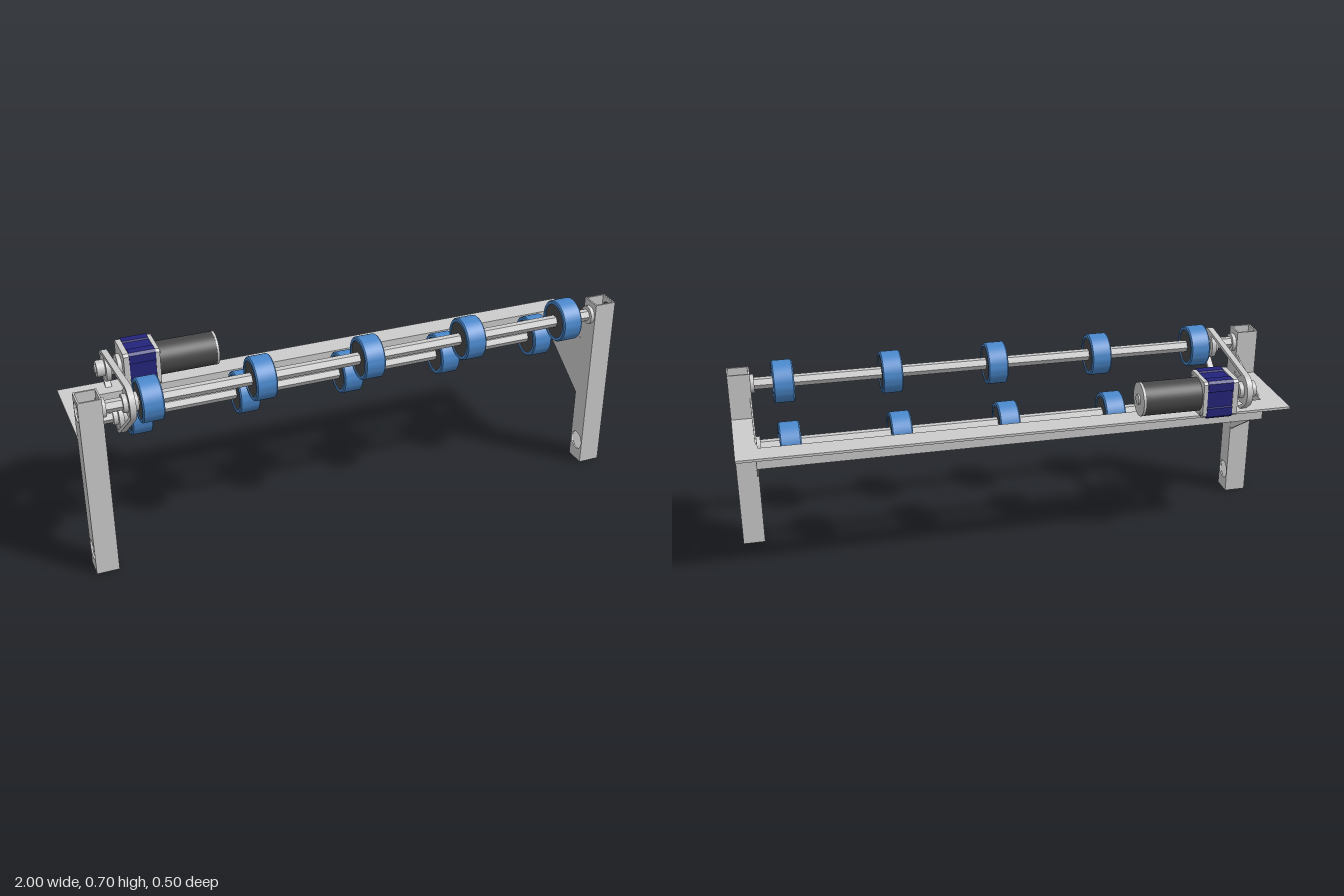
import * as THREE from 'three';
import { toCreasedNormals } from 'three/addons/utils/BufferGeometryUtils.js';

const mat = (color) => new THREE.MeshStandardMaterial({ color });
const GREY = mat(0xcccccc), BLUE = mat(0x4a88cc), DARK = mat(0x484848), NAVY = mat(0x24247c);

// Axis positions in the side plane: [z, y]
const UPPER = [0.174, 0.628], LOWER = [-0.022, 0.472], MOTOR = [-0.175, 0.583];

export function createModel() {
  const root = new THREE.Group();

  const add = (parent, name, geo, material = GREY) => {
    const m = new THREE.Mesh(geo, material);
    m.name = name;
    parent.add(m);
    return m;
  };
  const group = (name) => {
    const g = new THREE.Group();
    g.name = name;
    root.add(g);
    return g;
  };
  // Box given by its limits
  const box = (parent, name, x0, x1, y0, y1, z0, z1, material) => {
    const m = add(parent, name, new THREE.BoxGeometry(x1 - x0, y1 - y0, z1 - z0), material);
    m.position.set((x0 + x1) / 2, (y0 + y1) / 2, (z0 + z1) / 2);
    return m;
  };
  // Cylinder lying along x, from x0 to x1, on a [z, y] axis
  const rod = (parent, name, [z, y], r, x0, x1, material, sides = 40) => {
    let g = new THREE.CylinderGeometry(r, r, x1 - x0, sides);
    if (sides < 12) g = toCreasedNormals(g, 0.5);
    const m = add(parent, name, g.rotateZ(Math.PI / 2), material);
    m.position.set((x0 + x1) / 2, y, z);
    return m;
  };
  // Side-plane shape (z, y) extruded along x from x0 to x1
  const plate = (parent, name, shape, x0, x1, material) => {
    const g = new THREE.ExtrudeGeometry(shape, { depth: x1 - x0, bevelEnabled: false, curveSegments: 24 });
    return add(parent, name, g.rotateY(-Math.PI / 2).translate(x1, 0, 0), material);
  };
  const polygon = (pts, holes = []) => {
    const s = new THREE.Shape(pts.map((p) => new THREE.Vector2(p[0], p[1])));
    for (const [z, y, r] of holes) s.holes.push(new THREE.Path().absarc(z, y, r, 0, Math.PI * 2, true));
    return s;
  };
  const rect = (z0, y0, z1, y1, holes) => polygon([[z0, y0], [z1, y0], [z1, y1], [z0, y1]], holes);

  // ---- Legs, side arms and gussets, mirrored left and right ----
  const zF = 0.213, zB = 0.135, top = 0.68, wall = 0.006;
  for (const s of [1, -1]) {
    const side = s > 0 ? 'left' : 'right';
    const span = (a, b) => (s > 0 ? [a, b] : [-b, -a]);

    // Open square tube with cross holes
    const leg = group(side + 'Leg');
    const wallShape = rect(zB, 0, zF, top, [[0.174, 0.08, 0.035], [...UPPER, 0.034]]);
    plate(leg, 'innerWall', wallShape, ...span(0.92, 0.92 + wall));
    plate(leg, 'outerWall', wallShape, ...span(1 - wall, 1));
    box(leg, 'frontWall', ...span(0.92 + wall, 1 - wall), 0, top, zF - wall, zF);
    box(leg, 'backWall', ...span(0.92 + wall, 1 - wall), 0, top, zB, zB + wall);

    // Angle-section arm and its tapered gusset as one plate, with a flange outward
    const arm = group(side + 'Arm');
    const hole = [[...LOWER, 0.034]];
    plate(arm, 'armPlate', rect(-0.128, 0.433, zB, 0.51, hole), ...span(0.92, 0.929));
    plate(arm, 'gusset', polygon([[zB, 0.275], [zB, 0.587], [-0.102, 0.51], [-0.128, 0.51], [-0.128, 0.433], [-0.105, 0.433]], hole),
      ...span(0.921, 0.927));
    box(arm, 'armFlange', ...span(0.929, 1), 0.501, 0.51, -0.128, zB);
  }

  // ---- Rear angle rail ----
  const rail = group('rearRail');
  box(rail, 'railFlange', -1, 1, 0.501, 0.51, -0.207, -0.128);
  box(rail, 'railWall', -0.92, 0.92, 0.433, 0.51, -0.128, -0.119);

  // ---- Roller shafts with wheels and end bearings ----
  const tyreGeo = toCreasedNormals(new THREE.LatheGeometry([
    [0.063, -0.0375], [0.073, -0.0375], [0.077, -0.033], [0.077, 0.033],
    [0.073, 0.0375], [0.063, 0.0375], [0.063, -0.0375],
  ].map((p) => new THREE.Vector2(...p)), 48), 0.6).rotateZ(Math.PI / 2);

  for (const [name, axis] of [['upperRoller', UPPER], ['lowerRoller', LOWER]]) {
    const roller = group(name);
    rod(roller, 'hexShaft', axis, 0.022, -0.935, 0.935, GREY, 6);
    for (const s of [-1, 1]) {
      const [a, b] = s > 0 ? [0.907, 0.931] : [-0.931, -0.907];
      rod(roller, 'bearing', axis, 0.0338, a, b);
    }
    for (const x of [-0.76, -0.37, 0.025, 0.415, 0.805]) {
      const tyre = add(roller, 'tyre', tyreGeo, BLUE);
      tyre.position.set(x, axis[1], axis[0]);
      rod(roller, 'wheelCore', axis, 0.0632, x - 0.034, x + 0.034, DARK);
    }
    rod(roller, 'pulley', axis, 0.0505, -0.834, -0.816);
    rod(roller, 'pulleyHub', axis, 0.032, -0.85, -0.798);
  }

  // ---- Drive belt around the three pulleys ----
  const wheels = [UPPER, MOTOR, LOWER];
  const loop = (path, r) => {
    const normal = (a, b) => Math.atan2(-(b[0] - a[0]), b[1] - a[1]);
    wheels.forEach((c, i) => {
      const prev = wheels[(i + 2) % 3], next = wheels[(i + 1) % 3];
      path.absarc(c[0], c[1], r, normal(prev, c), normal(c, next), false);
    });
    path.closePath();
    return path;
  };
  const beltShape = loop(new THREE.Shape(), 0.0625);
  beltShape.holes.push(loop(new THREE.Path(), 0.0503));
  plate(group('driveBelt'), 'belt', beltShape, -0.836, -0.814);

  // ---- Gear motor ----
  const motor = group('gearMotor');
  const [mz, my] = MOTOR;
  const quarterTurns = (pts) => [0, 1, 2, 3].flatMap((k) => pts.map(([z, y]) => {
    const c = [1, 0, -1, 0][k], s = [0, 1, 0, -1][k];
    return [mz + z * c - y * s, my + z * s + y * c];
  }));
  // Housing with a shallow groove along each side and chamfered corners
  const housing = quarterTurns([[0.072, -0.063], [0.072, -0.032], [0.066, -0.029], [0.066, 0.029], [0.072, 0.032], [0.072, 0.063], [0.063, 0.072]]);
  const endPlate = quarterTurns([[0.069, -0.06], [0.069, 0.06], [0.06, 0.069]]);
  plate(motor, 'gearHousing', polygon(housing), -0.755, -0.66, NAVY);
  plate(motor, 'frontPlate', polygon(endPlate), -0.775, -0.755);
  plate(motor, 'rearPlate', polygon(endPlate), -0.66, -0.645);
  for (const s of [1, -1]) {
    rod(motor, 'plateBolt', [mz + 0.055 * s, my + 0.055 * s], 0.007, -0.645, -0.641, GREY, 16);
  }
  rod(motor, 'motorBody', MOTOR, 0.061, -0.645, -0.434, DARK);
  rod(motor, 'endCap', MOTOR, 0.0615, -0.434, -0.426);
  rod(motor, 'endBoss', MOTOR, 0.019, -0.426, -0.42);
  rod(motor, 'frontBoss', MOTOR, 0.04, -0.79, -0.775);
  rod(motor, 'driveShaft', MOTOR, 0.016, -0.868, -0.775);
  rod(motor, 'pulley', MOTOR, 0.0505, -0.834, -0.816);
  rod(motor, 'pulleyHub', MOTOR, 0.03, -0.863, -0.8);

  return root;
}
